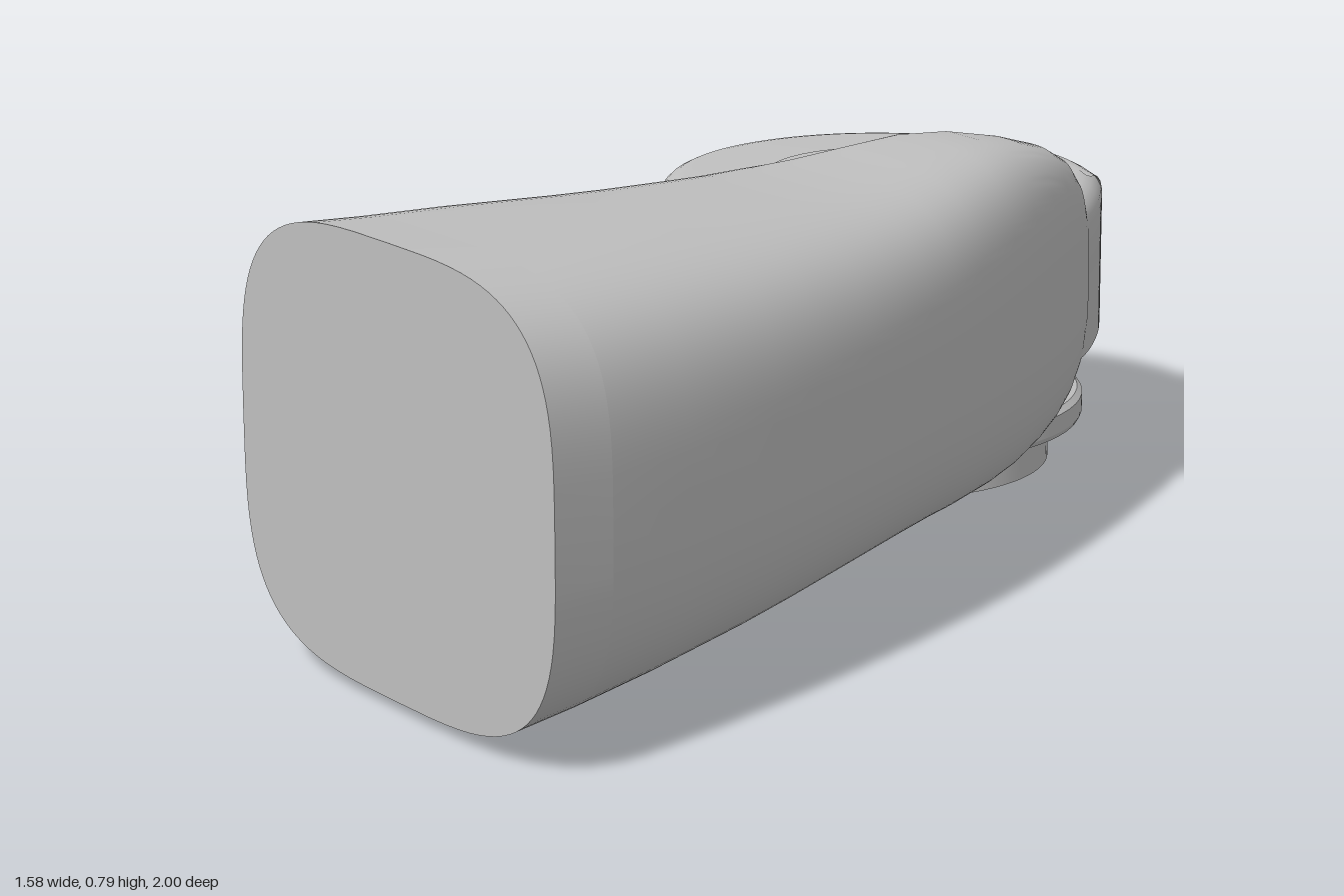
import * as THREE from 'three';
import { toCreasedNormals } from 'three/addons/utils/BufferGeometryUtils.js';

const rad = THREE.MathUtils.degToRad;
const HX = -0.36, HZ = -0.57; // axis of the round head

// Stations along the arm: z, left, right, bottom, top, scoop limit on the left
const stations = [
  [1, -0.12, 0.79, 0.02, 0.785, -1],
  [0.875, -0.13, 0.768, 0.029, 0.774, -1],
  [0.7, -0.142, 0.728, 0.043, 0.762, -1],
  [0.47, -0.155, 0.662, 0.062, 0.742, -0.155],
  [0.35, -0.165, 0.622, 0.072, 0.732, -0.135],
  [0.2, -0.18, 0.567, 0.084, 0.721, -0.107],
  [0.1, -0.19, 0.525, 0.089, 0.714, -0.085],
  [0, -0.2, 0.48, 0.092, 0.71, -0.062],
  [-0.1, -0.21, 0.432, 0.092, 0.709, -0.045],
  [-0.2, -0.22, 0.381, 0.088, 0.712, -0.045],
  [-0.35, -0.22, 0.298, 0.086, 0.716, -0.05],
  [-0.45, -0.21, 0.24, 0.092, 0.71, -0.028],
  [-0.55, -0.18, 0.176, 0.108, 0.692, -0.003],
  [-0.63, -0.14, 0.122, 0.132, 0.668, 0.003],
  [-0.69, -0.1, 0.08, 0.165, 0.635, 0.002],
  [-0.73, -0.07, 0.052, 0.21, 0.59, 0],
  [-0.75, -0.05, 0.036, 0.26, 0.54, 0],
];

// Rounded-rectangle sections, trimmed on the left by the scoop
function loft(rows, capFront, capBack) {
  const N = 96, pos = [], idx = [];
  for (const [z, l, r, b, t, cut] of rows) {
    for (let j = 0; j < N; j++) {
      const a = (j / N) * Math.PI * 2, c = Math.cos(a), s = Math.sin(a);
      const x = (l + r) / 2 + (r - l) / 2 * Math.sign(c) * Math.abs(c) ** (2 / 3.5);
      const y = (b + t) / 2 + (t - b) / 2 * Math.sign(s) * Math.abs(s) ** (2 / 3.5);
      pos.push(Math.max(x, cut), y, z);
    }
  }
  for (let i = 0; i < rows.length - 1; i++) {
    for (let j = 0; j < N; j++) {
      const a = i * N + j, b = i * N + (j + 1) % N;
      idx.push(a, a + N, b, b, a + N, b + N);
    }
  }
  const cap = (i, front) => {
    const [z, l, r, b, t, cut] = rows[i], centre = pos.length / 3;
    pos.push((Math.max(l, cut) + r) / 2, (b + t) / 2, z);
    for (let j = 0; j < N; j++) {
      const p = i * N + j, q = i * N + (j + 1) % N;
      idx.push(centre, front ? p : q, front ? q : p);
    }
  };
  if (capFront) cap(0, true);
  if (capBack) cap(rows.length - 1, false);
  const g = new THREE.BufferGeometry();
  g.setAttribute('position', new THREE.Float32BufferAttribute(pos, 3));
  g.setIndex(idx);
  return toCreasedNormals(g, 0.6);
}

// Plan outline (x, -z) raised from height y
function raise(shape, y, depth, options = {}) {
  const g = new THREE.ExtrudeGeometry(shape, { depth, bevelEnabled: false, curveSegments: 28, ...options });
  g.rotateX(-Math.PI / 2).translate(0, y, 0);
  return toCreasedNormals(g, 0.5);
}

export function createModel() {
  const group = new THREE.Group();
  const grey = new THREE.MeshStandardMaterial({ color: 0xc0c0c0 });
  grey.name = 'grey';
  const add = (name, geometry) => {
    const mesh = new THREE.Mesh(geometry, grey);
    mesh.name = name;
    group.add(mesh);
    return mesh;
  };

  // Curved arm and its end collar
  add('endCollar', loft(stations.slice(0, 2), true, false));
  add('arm', loft(stations.slice(1), false, true));

  // Round head blended into the arm on both sides
  const v = (x, y) => new THREE.Vector2(x, y);
  const head = new THREE.Shape();
  head.moveTo(0.12, 0.6);
  head.splineThru([v(0.035, 0.745), v(-0.06, 0.86), v(HX + 0.215, -HZ + 0.3724)]);
  head.absarc(HX, -HZ, 0.43, rad(60), rad(270), false);
  head.splineThru([v(-0.22, 0.13), v(-0.13, 0.08), v(-0.09, 0), v(-0.08, -0.1), v(-0.1, -0.22)]);
  head.lineTo(0.05, -0.22);
  head.lineTo(0.2, 0.3);
  head.closePath();
  add('headSide', raise(head, 0.25, 0.15));
  add('headTop', raise(head, 0.4, 0.1, {
    bevelEnabled: true, bevelSize: 0.05, bevelThickness: 0.05, bevelOffset: -0.05, bevelSegments: 5,
  }));

  // Low disc on top of the head
  const disc = add('topDisc', new THREE.CylinderGeometry(0.22, 0.22, 0.012, 64));
  disc.position.set(HX, 0.551, HZ);

  // Neck and flange under the head
  const profile = [[0, 0.085], [0.385, 0.085], [0.39, 0.095], [0.39, 0.13], [0.38, 0.14], [0.35, 0.145], [0.35, 0.26]];
  const neck = new THREE.LatheGeometry(profile.map(([r, y]) => v(r, y)), 64);
  add('neckAndFlange', toCreasedNormals(neck, 0.4)).position.set(HX, 0, HZ);

  // Bottom plug with one flat side
  const plug = new THREE.Shape();
  plug.absarc(HX, -HZ, 0.325, rad(201), rad(467), false);
  plug.closePath();
  add('bottomPlug', raise(plug, 0, 0.1));

  return group;
}
